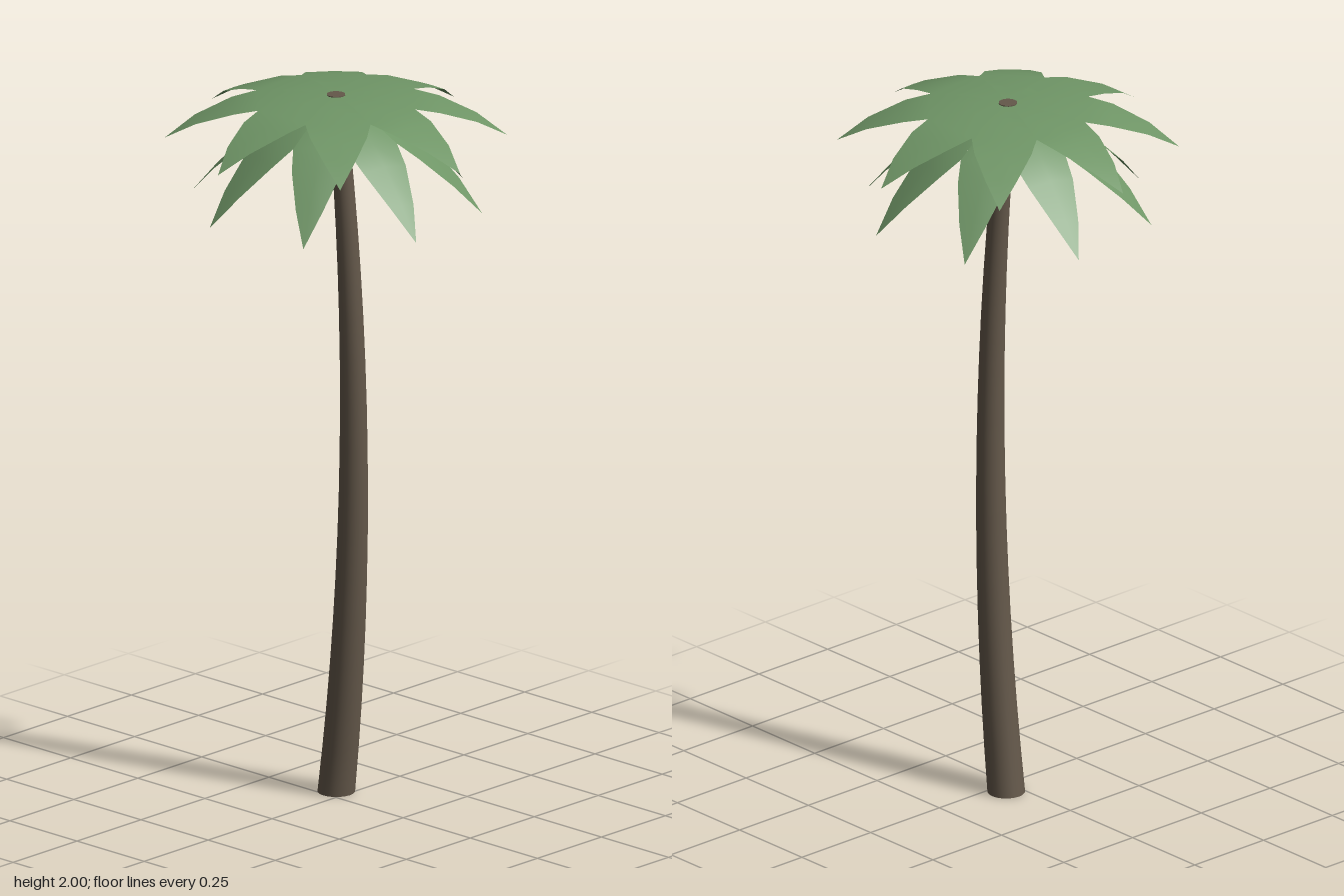
import * as THREE from 'three';
import { mergeVertices } from 'three/addons/utils/BufferGeometryUtils.js';

const LEAVES = 8;
// leaf outline: distance from the centre, half width
const OUTLINE = [[0, 0], [0.11, 0.0456], [0.212, 0.0878], [0.28, 0.077], [0.38, 0.042], [0.462, 0]];

// Leaning, gently bowed and tapering trunk
function trunkGeometry() {
  const geo = new THREE.CylinderGeometry(0.025, 0.051, 2, 20, 16);
  geo.translate(0, 1, 0);
  const p = geo.attributes.position;
  for (let i = 0; i < p.count; i++) {
    const y = p.getY(i);
    p.setX(i, p.getX(i) - 0.037 + 0.1355 * y - 0.0585 * y * y);
    p.setZ(i, p.getZ(i) - 0.04 + 0.006 * y + 0.007 * y * y);
  }
  geo.computeVertexNormals();
  return geo;
}

// Star of leaves joined at the centre, drooping with distance
function crownGeometry(radius, top, drop, power, turn) {
  const pos = [], index = [];
  const s = radius / 0.462;
  for (let k = 0; k < LEAVES; k++) {
    const a = turn + (k * Math.PI * 2) / LEAVES;
    const c = Math.cos(a), n = Math.sin(a);
    const base = pos.length / 3;
    for (const [d, w] of OUTLINE) {
      for (const side of [-1, 0, 1]) {
        const u = d * s, v = side * w * s;
        const y = top - drop * Math.pow(Math.hypot(u, v) / radius, power);
        pos.push(u * c - v * n, y, u * n + v * c);
      }
    }
    for (let r = 0; r < OUTLINE.length - 1; r++) {
      for (let j = 0; j < 2; j++) {
        const p = base + r * 3 + j, q = p + 3;
        if (r > 0) index.push(p, p + 1, q);
        if (r < OUTLINE.length - 2) index.push(p + 1, q + 1, q);
        else if (r === 0) index.push(p, q + 1, q);
      }
    }
  }
  const geo = new THREE.BufferGeometry();
  geo.setAttribute('position', new THREE.Float32BufferAttribute(pos, 3));
  geo.setIndex(index);
  const welded = mergeVertices(geo, 1e-4);
  welded.computeVertexNormals();
  return welded;
}

export function createModel() {
  const bark = new THREE.MeshStandardMaterial({ name: 'bark brown', color: 0x64584a });
  const leaf = new THREE.MeshStandardMaterial({ name: 'leaf green', color: 0x6f9566, side: THREE.DoubleSide });

  const tree = new THREE.Group();
  tree.name = 'palmTree';
  const add = (name, geo, mat) => {
    const mesh = new THREE.Mesh(geo, mat);
    mesh.name = name;
    tree.add(mesh);
  };

  add('trunk', trunkGeometry(), bark);
  add('upperLeaves', crownGeometry(0.462, 1.998, 0.118, 3, 0), leaf);
  add('lowerLeaves', crownGeometry(0.404, 1.98, 0.29, 1.8, THREE.MathUtils.degToRad(14)), leaf);
  return tree;
}
